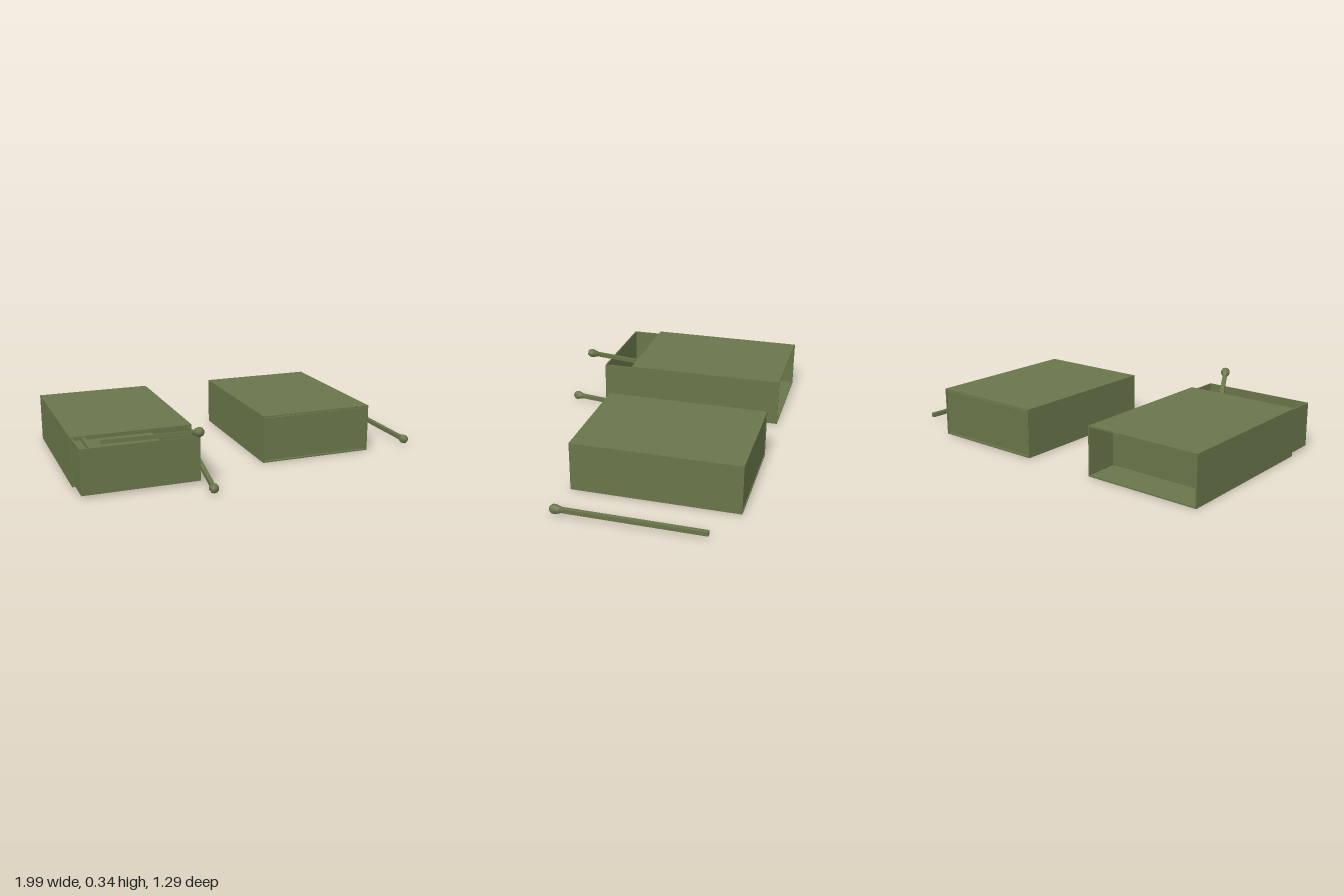
import * as THREE from 'three';

const W = 0.65, H = 0.268, D = 0.905, T = 0.007; // sleeve size and card thickness

export function createModel() {
  const olive = new THREE.MeshStandardMaterial({ color: 0x69764a });
  olive.name = 'olive';
  const faceted = olive;
  const model = new THREE.Group();
  model.name = 'matchboxes';

  const box = (parent, name, w, h, d, x, y, z) => {
    const mesh = new THREE.Mesh(new THREE.BoxGeometry(w, h, d), olive);
    mesh.name = name;
    mesh.position.set(x, y, z);
    parent.add(mesh);
  };

  // Matchbox: a sleeve open at both ends, with an open-topped tray slid forward inside
  function addMatchbox(name, x, slide) {
    const group = new THREE.Group();
    group.name = name;
    group.position.set(x, 0.003, -0.193);

    const rect = (path, w, y0, y1) => {
      path.moveTo(-w / 2, y0);
      path.lineTo(w / 2, y0);
      path.lineTo(w / 2, y1);
      path.lineTo(-w / 2, y1);
      path.closePath();
      return path;
    };
    const outline = rect(new THREE.Shape(), W, 0, H);
    outline.holes.push(rect(new THREE.Path(), W - 2 * T, T, H - T));
    const shell = new THREE.ExtrudeGeometry(outline, { depth: D, bevelEnabled: false });
    shell.translate(0, 0, -D / 2);
    const sleeve = new THREE.Mesh(shell, olive);
    sleeve.name = 'sleeve';
    group.add(sleeve);

    const tray = new THREE.Group();
    tray.name = 'tray';
    tray.position.set(0, 0.012, slide);
    const w = W - 0.022, h = 0.244, d = D - 0.006, t = 0.008;
    box(tray, 'trayFloor', w, t, d, 0, t / 2, 0);
    for (const s of [-1, 1]) {
      box(tray, 'traySide', t, h, d, s * (w - t) / 2, h / 2, 0);
      box(tray, 'trayEnd', w - 2 * t, h, t, 0, h / 2, s * (d - t) / 2);
    }
    group.add(tray);
    model.add(group);
  }
  addMatchbox('openMatchbox', -0.675, 0.177);
  addMatchbox('closedMatchbox', 0.39, 0);

  // Match: square stick behind a drop-shaped head, tip at the origin, pointing along +z
  const headProfile = [
    [0, -0.07], [0.013, -0.068], [0.02, -0.05], [0.0255, -0.03],
    [0.024, -0.014], [0.015, -0.003], [0, 0],
  ].map(([r, y]) => new THREE.Vector2(r, y));
  const headGeometry = new THREE.LatheGeometry(headProfile, 10);
  headGeometry.rotateX(Math.PI / 2);

  function addMatch(name, tip, tail) {
    const group = new THREE.Group();
    group.name = name;
    const a = new THREE.Vector3(...tip);
    const dir = a.clone().sub(new THREE.Vector3(...tail)).normalize();
    const length = 0.805;
    group.position.copy(a);
    group.lookAt(a.clone().add(dir));
    const head = new THREE.Mesh(headGeometry, faceted);
    head.name = 'matchHead';
    group.add(head);
    box(group, 'matchStick', 0.023, 0.023, length - 0.04, 0, 0, -(length + 0.04) / 2);
    model.add(group);
  }
  addMatch('looseMatch', [0.97, 0.036, 0.27], [0.975, 0.036, -0.535]);
  addMatch('leaningMatch', [-0.358, 0.036, 0.642], [-0.232, 0.036, -0.155]);
  addMatch('raisedMatch', [-0.388, 0.319, 0.553], [-0.749, 0.104, -0.131]);
  addMatch('trayMatch', [-0.806, 0.05, 0.392], [-0.806, 0.05, -0.413]);

  return model;
}
